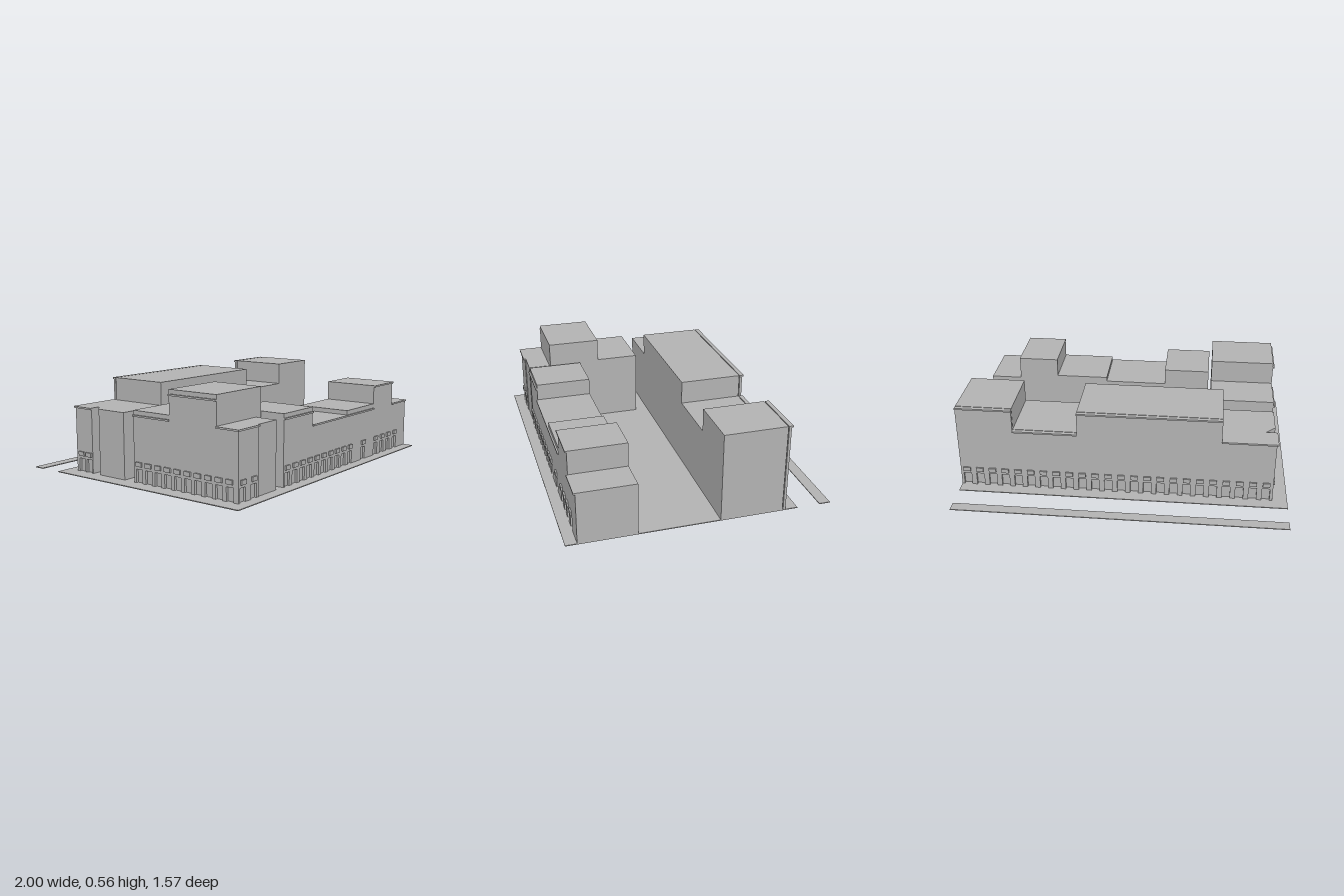
import * as THREE from 'three';

const stone = new THREE.MeshStandardMaterial({ color: 0xb2b2b2 });
stone.name = 'grey stone';

const GROUND = 0.005;   // top of the pavement
const SKIN = 0.015;     // depth of the shopfront recesses

function add(parent, name, geometry) {
  const mesh = new THREE.Mesh(geometry, stone);
  mesh.name = name;
  parent.add(mesh);
  return mesh;
}

// Box given by its limits
function box(parent, name, x0, x1, y0, y1, z0, z1) {
  const g = new THREE.BoxGeometry(x1 - x0, y1 - y0, z1 - z0);
  g.translate((x0 + x1) / 2, (y0 + y1) / 2, (z0 + z1) / 2);
  return add(parent, name, g);
}

// Stepped skyline [[x0, x1, height], ...], optionally with doorways cut into the foot
function skyline(parent, name, steps, z0, z1, doors = []) {
  const s = new THREE.Shape();
  s.moveTo(steps[0][0], GROUND);
  for (const [a, b, h] of steps) {
    s.lineTo(a, h);
    s.lineTo(b, h);
  }
  s.lineTo(steps[steps.length - 1][1], GROUND);
  for (const c of [...doors].sort((a, b) => b - a)) {
    s.lineTo(c + 0.024, GROUND);
    s.lineTo(c + 0.024, 0.085);
    s.lineTo(c - 0.024, 0.085);
    s.lineTo(c - 0.024, GROUND);
  }
  const g = new THREE.ExtrudeGeometry(s, { depth: z1 - z0, bevelEnabled: false });
  g.translate(0, 0, z0);
  return add(parent, name, g);
}

// Street wall facing local +z: recessed doorways, small awnings and cornices [x0, x1, top]
function facade(parent, name, steps, face, bays, cornices) {
  const group = new THREE.Group();
  group.name = name;
  skyline(group, 'shopfrontWall', steps, face - SKIN, face, bays);
  for (const c of bays) box(group, 'awning', c - 0.022, c + 0.022, 0.102, 0.128, face, face + 0.01);
  for (const [a, b, top] of cornices) box(group, 'cornice', a, b, top - 0.01, top, face, face + 0.01);
  parent.add(group);
  return group;
}

const bayRow = (start, pitch, count) => Array.from({ length: count }, (_, i) => start + i * pitch);

export function createModel() {
  const model = new THREE.Group();
  model.name = 'cityBlock';

  // Pavement and the strip across the street
  box(model, 'pavement', -1, 1, 0, GROUND, -0.58, 0.78);
  box(model, 'kerbStrip', -1, 1, 0, GROUND, -0.787, -0.72);

  // Front row
  const front = [[-0.495, -0.2, 0.423], [-0.2, 0.2, 0.32], [0.2, 0.54, 0.347],
    [0.54, 0.8, 0.465], [0.8, 1, 0.32]];
  skyline(model, 'frontRowBody', front, 0.37, 0.7);
  facade(model, 'frontRowFacade', front, 0.713,
    [...bayRow(-0.46, 0.078, 10), 0.41, 0.58, 0.67, 0.755, 0.85],
    [[-0.495, -0.2, 0.398], [-0.2, 0.54, 0.32], [0.54, 0.8, 0.465], [0.8, 1, 0.32]]);

  // Back row: local axes are turned half round, so x runs backwards
  const back = new THREE.Group();
  back.name = 'backRow';
  back.rotation.y = Math.PI;
  model.add(back);
  const rear = [[-1, -0.66, 0.54], [-0.66, -0.27, 0.4], [-0.27, 0.59, 0.54]];
  const rearAll = [...rear, [0.59, 0.91, 0.4]];
  skyline(back, 'backRowBody', rear, 0.11, 0.5 - SKIN);
  facade(back, 'backRowFacade', rearAll, 0.505, bayRow(-0.96, 0.0795, 24), rearAll);

  // Rear corner house with a notch in its side, extruded upward from its plan
  const plan = [[-0.59, 0.11], [-0.59, 0.49], [-0.895, 0.49], [-0.895, 0.37],
    [-0.85, 0.37], [-0.908, 0.312], [-0.908, 0.11]];
  const shape = new THREE.Shape(plan.map(([x, y]) => new THREE.Vector2(x, y)));
  const house = new THREE.ExtrudeGeometry(shape, { depth: 0.4 - GROUND, bevelEnabled: false });
  house.rotateX(-Math.PI / 2);
  house.translate(0, GROUND, 0);
  add(model, 'notchedCornerHouse', house);

  // Side street: local x is world z, local z points to world -x
  const side = new THREE.Group();
  side.name = 'sideRow';
  side.rotation.y = -Math.PI / 2;
  model.add(side);
  const tower = [[-0.03, 0.24, 0.423], [0.24, 0.57, 0.565]];
  skyline(side, 'towerBody', tower, 0.513, 0.91 - SKIN);
  facade(side, 'towerFacade', [...tower, [0.57, 0.7, 0.398]], 0.91, bayRow(0.01, 0.072, 10),
    [[-0.03, 0.24, 0.398], [0.24, 0.57, 0.54], [0.57, 0.72, 0.398]]);
  facade(side, 'cornerHouseFacade', [[-0.49, -0.37, 0.4]], 0.91, [-0.46, -0.4],
    [[-0.51, -0.37, 0.4]]);

  // Front corner house beside the tower
  box(model, 'frontCornerHouse', -0.895, -0.56, GROUND, 0.398, 0.57, 0.7);
  box(model, 'frontCornerPlainWall', -0.73, -0.56, GROUND, 0.398, 0.7, 0.708);
  facade(model, 'frontCornerFacade', [[-0.91, -0.73, 0.398]], 0.713, [-0.87, -0.775],
    [[-0.92, -0.73, 0.398]]);

  return model;
}
